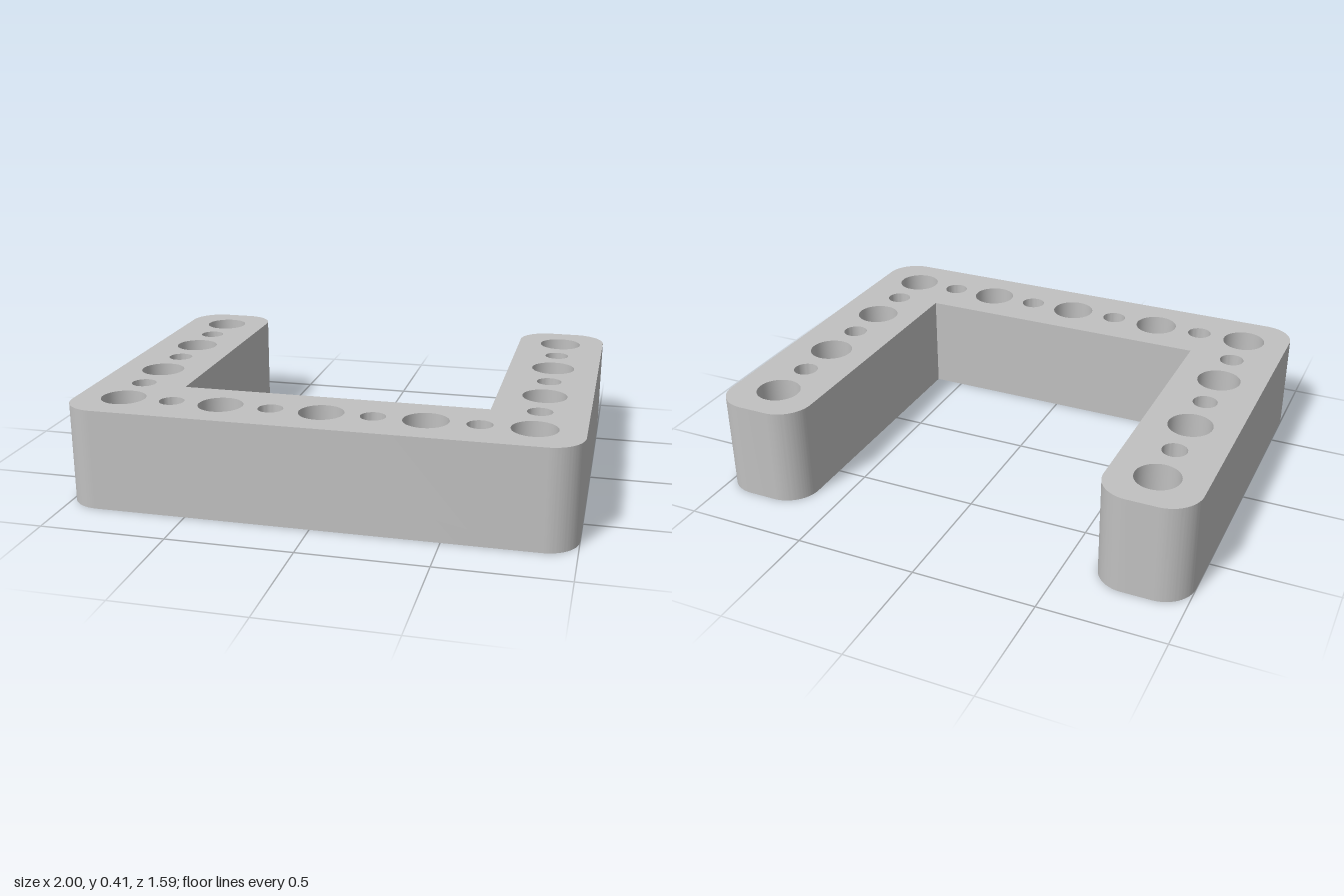
import * as THREE from 'three';
import { toCreasedNormals } from 'three/addons/utils/BufferGeometryUtils.js';

const HEIGHT = 0.405, HALF_X = 1, HALF_Z = 0.795; // overall size
const INNER_X = 0.623, INNER_Z = 0.417;           // edges of the open bay
const CORNER = 0.13, BIG = 0.089, SMALL = 0.05;   // radii
const PITCH = 0.2025, ROW_X = 0.81, ROW_Z = 0.605; // hole grid

export function createModel() {
  const grey = new THREE.MeshStandardMaterial({ color: 0xc0c0c0 });
  grey.name = 'light grey';

  // U-shaped outline in plan, drawn with shape y = -z
  const outline = new THREE.Shape();
  const corner = (x, y, start) =>
    outline.absarc(x, y, CORNER, start, start + Math.PI / 2, false);
  const ox = HALF_X - CORNER, oy = HALF_Z - CORNER, ix = INNER_X + CORNER;
  corner(-ox, -oy, Math.PI);
  corner(ox, -oy, -Math.PI / 2);
  corner(ox, oy, 0);
  corner(ix, oy, Math.PI / 2);
  outline.lineTo(INNER_X, -INNER_Z);
  outline.lineTo(-INNER_X, -INNER_Z);
  corner(-ix, oy, 0);
  corner(-ox, oy, Math.PI / 2);
  outline.closePath();

  // Through holes, alternating large and small
  const addHole = (x, z, i) => {
    const hole = new THREE.Path();
    hole.absarc(x, -z, i % 2 === 0 ? BIG : SMALL, 0, Math.PI * 2, true);
    outline.holes.push(hole);
  };
  for (let i = 0; i <= 8; i++) addHole((i - 4) * PITCH, ROW_Z, i);
  for (const side of [-1, 1]) {
    for (let i = 1; i <= 6; i++) addHole(side * ROW_X, ROW_Z - i * PITCH, i);
  }

  // Extrude upward, keeping the arcs smooth and the edges sharp
  const extruded = new THREE.ExtrudeGeometry(outline, {
    depth: HEIGHT, bevelEnabled: false, curveSegments: 20,
  });
  extruded.rotateX(-Math.PI / 2);
  const frame = new THREE.Mesh(toCreasedNormals(extruded, Math.PI / 6), grey);
  frame.name = 'perforatedFrame';

  const group = new THREE.Group();
  group.name = 'uShapedBeam';
  group.add(frame);
  return group;
}
